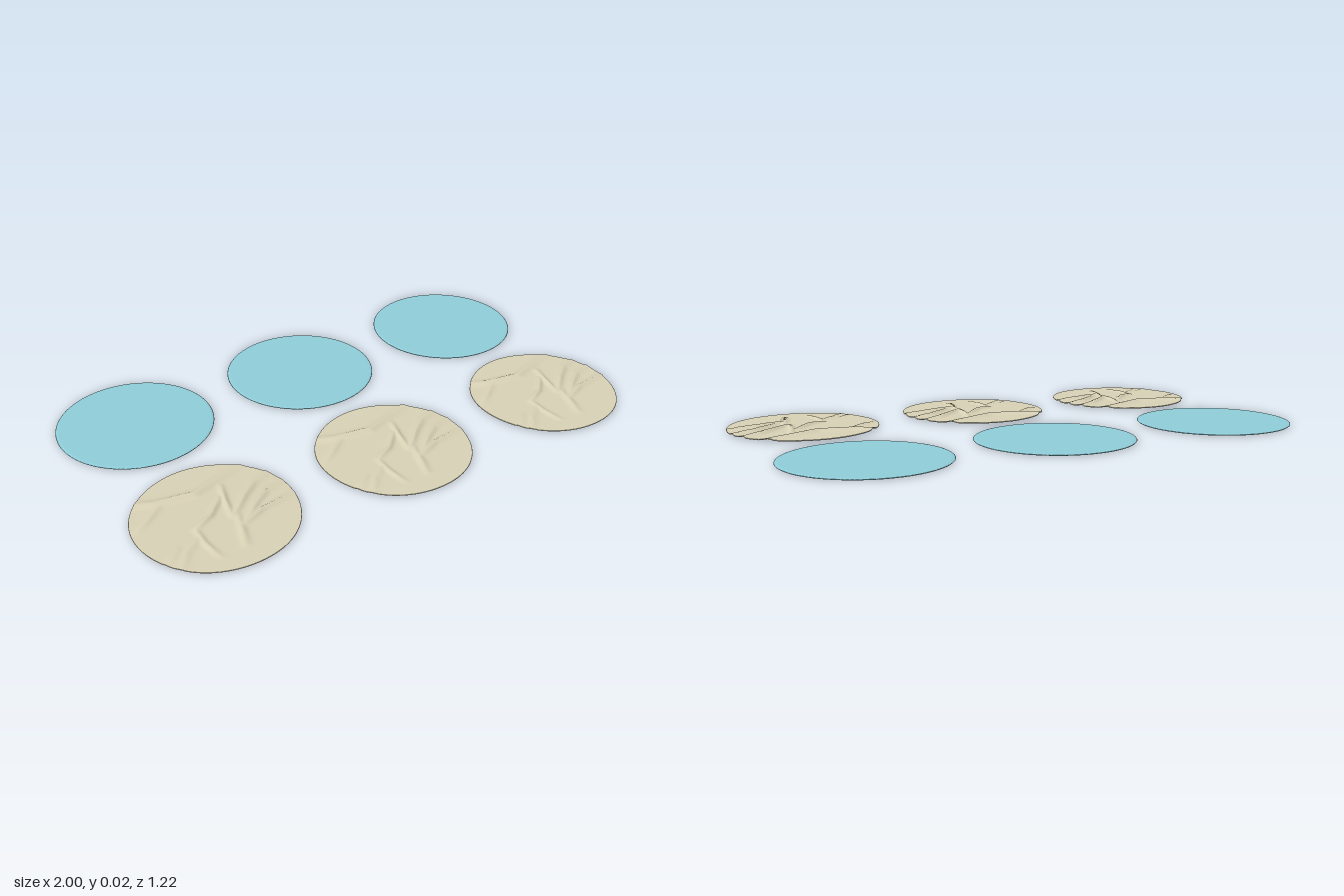
import * as THREE from 'three';
import { mergeVertices } from 'three/addons/utils/BufferGeometryUtils.js';

// Creases of the crumpled sheet: [height, width, x0, z0, x1, z1, ...] about its centre
const CREASES = [
  [0.011, 0.016, -0.25, -0.21, -0.15, -0.16, -0.01, -0.135, 0.08, -0.165, 0.23, -0.215],
  [0.006, 0.012, -0.25, -0.06, -0.20, -0.09, -0.13, -0.145],
  [0.010, 0.011, -0.09, 0.035, -0.02, 0.0, 0.05, -0.07],
  [0.006, 0.010, -0.09, 0.035, -0.095, 0.11, -0.085, 0.19],
  [0.008, 0.010, 0.085, -0.13, 0.06, -0.05, 0.04, 0.04],
  [0.008, 0.011, 0.06, 0.04, 0.035, 0.12, 0.01, 0.19],
  [0.011, 0.012, 0.05, 0.035, 0.13, -0.04, 0.19, -0.085, 0.27, -0.115],
  [0.010, 0.011, 0.07, 0.08, 0.14, 0.02, 0.20, -0.02, 0.29, -0.045],
  [0.011, 0.012, 0.04, 0.10, 0.14, 0.06, 0.29, 0.04],
  [0.006, 0.010, -0.21, 0.18, -0.16, 0.12, -0.09, 0.075],
  [0.005, 0.010, -0.24, 0.14, -0.18, 0.10],
];

// Height of the wrinkles at a point: each crease fades out towards its ends
function wrinkle(x, z) {
  let h = 0;
  for (const [height, width, ...p] of CREASES) {
    const segments = p.length / 2 - 1;
    let best = Infinity, along = 0;
    for (let i = 0; i < segments; i++) {
      const [ax, az, bx, bz] = p.slice(i * 2, i * 2 + 4);
      const dx = bx - ax, dz = bz - az;
      const t = THREE.MathUtils.clamp(((x - ax) * dx + (z - az) * dz) / (dx * dx + dz * dz), 0, 1);
      const d = Math.hypot(x - ax - dx * t, z - az - dz * t);
      if (d < best) { best = d; along = (i + t) / segments; }
    }
    const fade = 0.5 + 0.5 * Math.sin(Math.PI * along);
    h = Math.max(h, height * fade * Math.exp(-((best / width) ** 2)));
  }
  return h;
}

// Thin round disc with a softened rim; rings subdivide both faces
function discGeometry(radius, thickness, bevel, rings) {
  const points = [];
  const inner = radius - bevel;
  for (let i = 0; i <= rings; i++) points.push(new THREE.Vector2(inner * i / rings, 0));
  for (let i = 1; i < 6; i++) {
    const a = -Math.PI / 2 + Math.PI * i / 6;
    points.push(new THREE.Vector2(inner + bevel * Math.cos(a), thickness * (0.5 + 0.5 * Math.sin(a))));
  }
  for (let i = rings; i >= 0; i--) points.push(new THREE.Vector2(inner * i / rings, thickness));
  return new THREE.LatheGeometry(points, 120);
}

function crumpledGeometry() {
  let g = discGeometry(0.283, 0.004, 0.002, 44);
  const p = g.attributes.position;
  for (let i = 0; i < p.count; i++) {
    const x = p.getX(i), z = p.getZ(i);
    const h = wrinkle(x, z);
    // the rim wavers slightly and pulls in where a fold reaches it
    const r = Math.hypot(x, z) / 0.283;
    const pull = 1 - r ** 8 * (0.004 + 0.004 * Math.sin(5 * Math.atan2(z, x)) + h * 1.2);
    p.setXYZ(i, x * pull, p.getY(i) + 0.002 + h, z * pull);
  }
  g.deleteAttribute('uv');
  g.deleteAttribute('normal');
  g = mergeVertices(g, 1e-6);
  g.computeVertexNormals();
  return g;
}

export function createModel() {
  const model = new THREE.Group();
  const blue = new THREE.MeshStandardMaterial({ color: 0x8fcdd9 });
  const cream = new THREE.MeshStandardMaterial({ color: 0xd8d1b5 });
  const smooth = discGeometry(0.29, 0.007, 0.014, 2);
  const crumpled = crumpledGeometry();

  // Two rows of three: smooth discs behind, crumpled ones in front
  ['right', 'middle', 'left'].forEach((side, i) => {
    const x = (i - 1) * 0.71;
    const back = new THREE.Mesh(smooth, blue);
    back.name = side + 'SmoothDisc';
    back.position.set(x, 0, -0.322);
    const front = new THREE.Mesh(crumpled, cream);
    front.name = side + 'CrumpledDisc';
    front.position.set(x, 0, 0.326);
    model.add(back, front);
  });
  return model;
}
